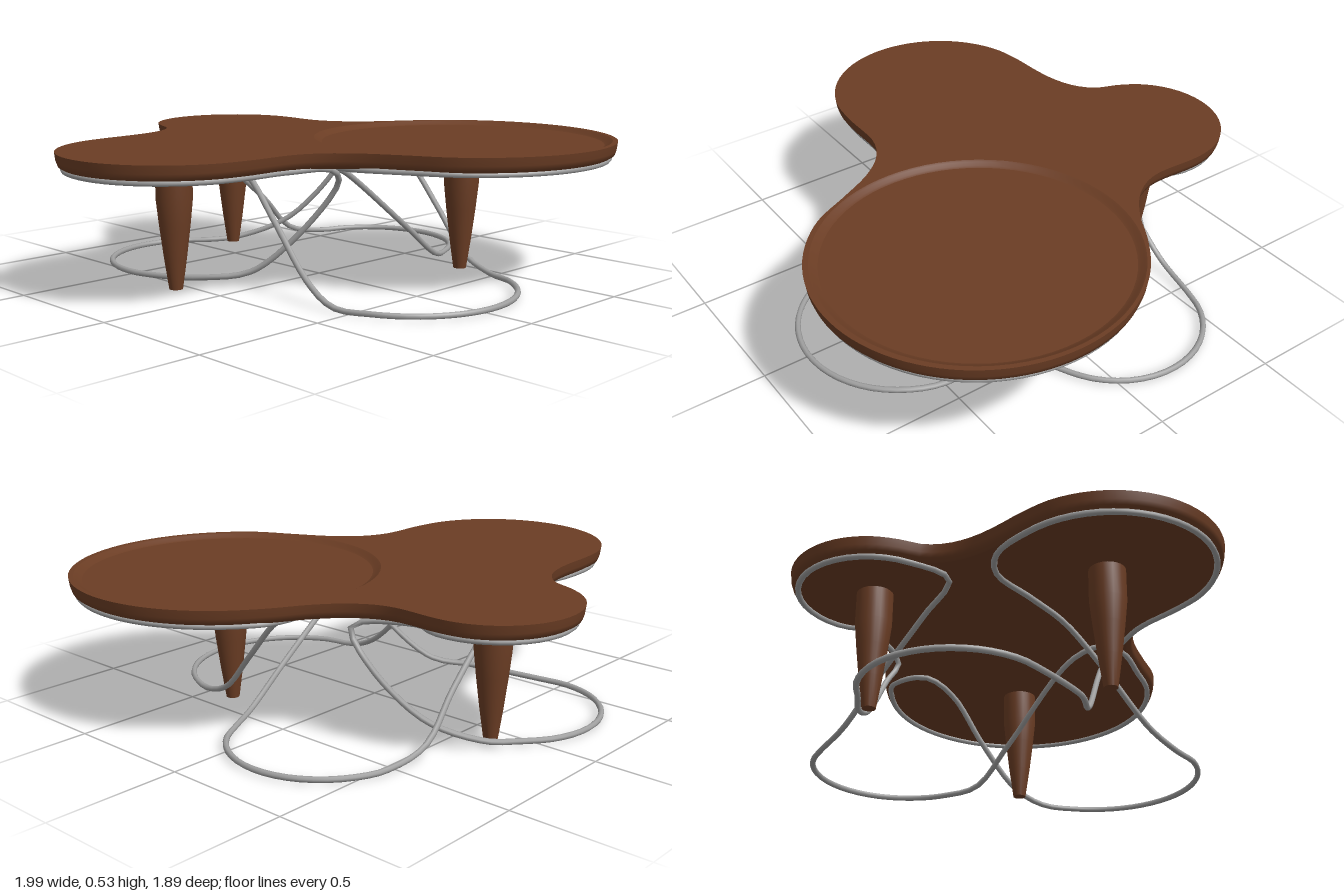
import * as THREE from 'three';
import { toCreasedNormals } from 'three/addons/utils/BufferGeometryUtils.js';

const TOP = 0.525, RIM = 0.462, FLOOR = 0.012;
const wood = new THREE.MeshStandardMaterial({ color: 0x6b3d24 });
wood.name = 'walnut wood';
const steel = new THREE.MeshStandardMaterial({ color: 0xa0a0a0 });
steel.name = 'brushed steel';

// The three round lobes of the table top
const left = { x: -0.585, z: -0.145, r: 0.415 };
const front = { x: 0.415, z: 0.36, r: 0.58 };
const back = { x: 0.11, z: -0.64, r: 0.308 };

// Level arc round a circle, angles in degrees, 90 is the front
function arc({ x, z, r }, y, from, to, n) {
  return Array.from({ length: n + 1 }, (_, i) => {
    const a = THREE.MathUtils.degToRad(from + ((to - from) * i) / n);
    return new THREE.Vector3(x + r * Math.cos(a), y, z + r * Math.sin(a));
  });
}
const through = (...points) => points.map((p) => new THREE.Vector3(...p));

function addMesh(group, name, geometry, material) {
  const mesh = new THREE.Mesh(geometry, material);
  mesh.name = name;
  group.add(mesh);
  return mesh;
}

// Lobes joined by hollow valleys, sampled evenly with outward normals
function outline() {
  const curve = new THREE.CatmullRomCurve3([
    ...arc(left, 0, 270, 90, 10),
    ...through([-0.38, 0, 0.28], [-0.28, 0, 0.33], [-0.2, 0, 0.42], [-0.13, 0, 0.55]),
    ...arc(front, 0, 144, -46, 14),
    ...through([0.7, 0, -0.15], [0.567, 0, -0.23], [0.47, 0, -0.32], [0.417, 0, -0.43]),
    ...arc(back, 0, -2, -158, 9),
    ...through([-0.21, 0, -0.67], [-0.28, 0, -0.61], [-0.37, 0, -0.578], [-0.475, 0, -0.565]),
  ], true);
  const n = 160;
  return Array.from({ length: n }, (_, i) => {
    const p = curve.getPointAt(i / n), t = curve.getTangentAt(i / n);
    return { x: p.x, z: p.z, nx: -t.z, nz: t.x };
  });
}

// Side wall of the slab: the outline drawn in towards the underside
function sideWall(points, rings) {
  const n = points.length, position = [], index = [];
  for (const [inset, y] of rings)
    for (const p of points) position.push(p.x - p.nx * inset, y, p.z - p.nz * inset);
  for (let r = 0; r < rings.length - 1; r++)
    for (let i = 0; i < n; i++) {
      const j = (i + 1) % n, a = r * n + i, b = r * n + j;
      index.push(a, a + n, b, b, a + n, b + n);
    }
  const geometry = new THREE.BufferGeometry();
  geometry.setAttribute('position', new THREE.Float32BufferAttribute(position, 3));
  geometry.setIndex(index);
  geometry.computeVertexNormals();
  return geometry;
}

function createTableTop() {
  const group = new THREE.Group();
  group.name = 'tableTop';
  const points = outline();
  const dish = { x: 0.415, z: 0.355, r: 0.565 };

  const topShape = new THREE.Shape(points.map((p) => new THREE.Vector2(p.x, -p.z)));
  const hole = new THREE.Path();
  hole.absarc(dish.x, -dish.z, dish.r, 0, Math.PI * 2, true);
  topShape.holes.push(hole);
  addMesh(group, 'topSurface', new THREE.ShapeGeometry(topShape, 36)
    .rotateX(-Math.PI / 2).translate(0, TOP, 0), wood);

  const inset = 0.028, bottom = 0.466;
  addMesh(group, 'edge', sideWall(points, [[0, TOP], [0.004, 0.495], [0.01, 0.477], [inset, bottom]]), wood);

  const underShape = new THREE.Shape(
    points.map((p) => new THREE.Vector2(p.x - p.nx * inset, p.z - p.nz * inset)));
  addMesh(group, 'underside', new THREE.ShapeGeometry(underShape)
    .rotateX(Math.PI / 2).translate(0, bottom, 0), wood);

  // Shallow round tray sunk into the largest lobe
  const profile = [[dish.r, TOP], [0.557, 0.521], [0.545, 0.512], [0.535, 0.508], [0, 0.508]]
    .map(([r, y]) => new THREE.Vector2(r, y));
  const tray = addMesh(group, 'sunkenTray',
    toCreasedNormals(new THREE.LatheGeometry(profile, 72), 0.35), wood);
  tray.position.set(dish.x, 0, dish.z);
  return group;
}

// One continuous rod: under each lobe, down through a valley, round a floor loop and up again
function createWireBase() {
  const underLobe = (lobe, from, to, n) => arc({ ...lobe, r: lobe.r - 0.03 }, RIM, from, to, n);
  const floorLoop = (x, z, r, from, to) => arc({ x, z, r }, FLOOR, from, to, 8);
  const curve = new THREE.CatmullRomCurve3([
    ...underLobe(left, 270, 90, 10),
    ...through([-0.38, RIM, 0.25], [-0.23, 0.458, 0.3], [-0.175, 0.4, 0.275],
      [-0.33, 0.07, 0.01], [-0.45, 0.03, -0.15]),
    ...floorLoop(-0.2, -0.5, 0.34, 165, 318),
    ...through([0.16, 0.025, -0.65], [0.31, 0.11, -0.5], [0.43, 0.32, -0.34], [0.435, 0.43, -0.28]),
    ...underLobe(back, 30, -165, 10),
    ...through([-0.18, 0.45, -0.53], [-0.03, 0.37, -0.52], [0.2, 0.2, -0.54], [0.37, 0.05, -0.56]),
    ...floorLoop(0.49, -0.2, 0.345, -80, 68),
    ...through([0.48, 0.03, 0.18], [0.3, 0.16, 0.19], [-0.06, 0.42, 0.2],
      [-0.18, 0.457, 0.25], [-0.19, RIM, 0.36]),
    ...underLobe(front, 160, -62, 16),
    ...through([0.49, 0.44, -0.09], [0.475, 0.39, 0.04], [0.47, 0.22, 0.2], [0.445, 0.06, 0.36]),
    ...floorLoop(0.03, 0.43, 0.397, 10, 178),
    ...through([-0.355, 0.07, 0.31], [-0.325, 0.26, 0.1], [-0.295, 0.4, -0.07],
      [-0.28, 0.45, -0.22], [-0.31, RIM, -0.42], [-0.42, RIM, -0.515]),
  ], true, 'centripetal');
  return new THREE.TubeGeometry(curve, 320, 0.011, 8, true);
}

export function createModel() {
  const model = new THREE.Group();
  model.name = 'threeLobedTable';
  model.add(createTableTop());

  // Tapered legs, one under the middle of each lobe
  const legProfile = [[0, 0.012], [0.025, 0.012], [0.042, 0.13], [0.057, 0.25], [0.067, 0.345], [0.067, 0.468]]
    .map(([r, y]) => new THREE.Vector2(r, y));
  const legGeometry = toCreasedNormals(new THREE.LatheGeometry(legProfile, 24), 0.6);
  for (const [name, lobe] of Object.entries({ leftLobeLeg: left, backLobeLeg: back, frontLobeLeg: front }))
    addMesh(model, name, legGeometry, wood).position.set(lobe.x, 0, lobe.z);

  addMesh(model, 'wireBase', createWireBase(), steel);
  return model;
}
